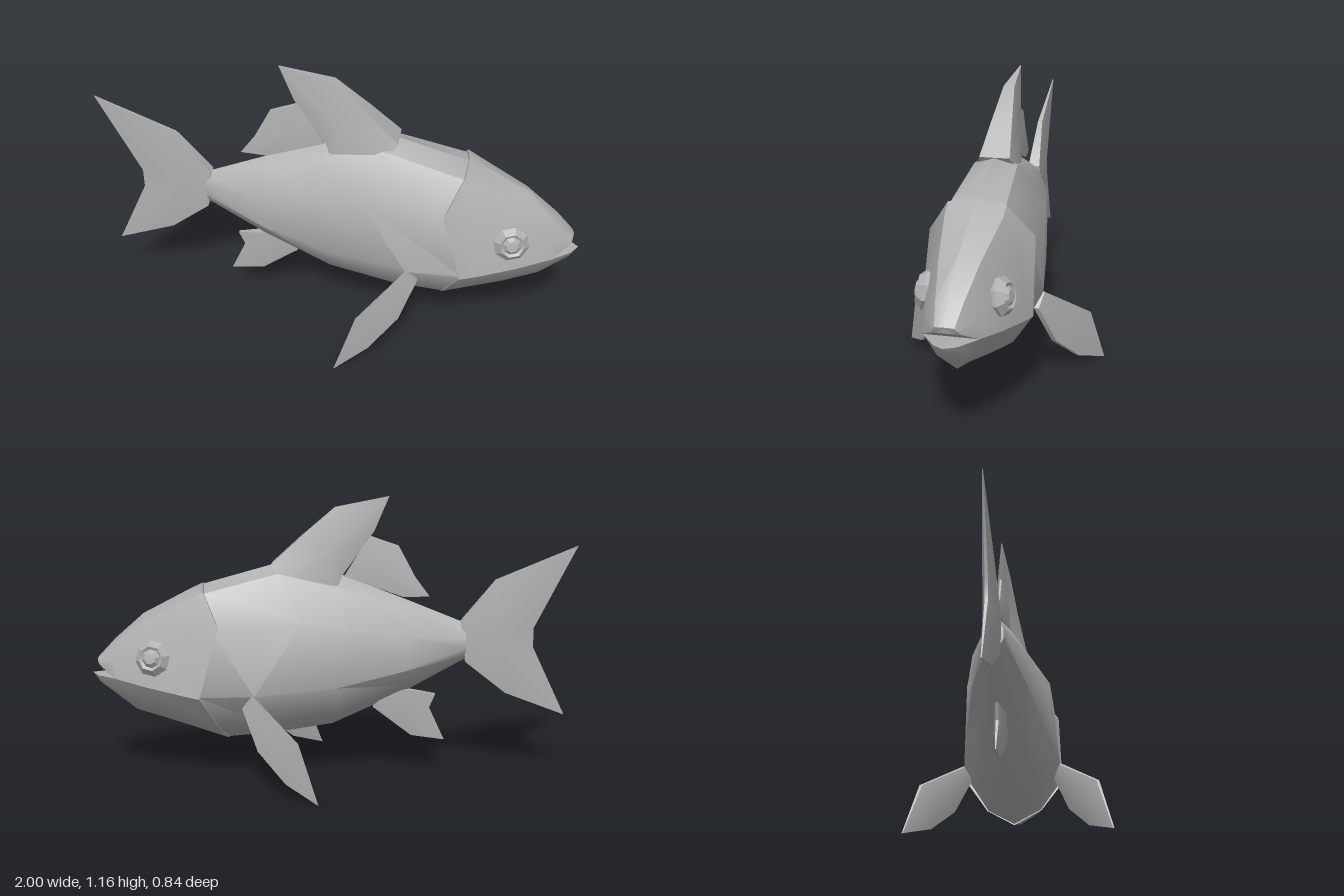
import * as THREE from 'three';
import { toCreasedNormals } from 'three/addons/utils/BufferGeometryUtils.js';

const grey = new THREE.MeshStandardMaterial({ color: 0xb0b0b0 });
grey.name = 'plain grey';

function mesh(name, verts, index, crease = 0.6) {
  const geo = new THREE.BufferGeometry();
  geo.setAttribute('position', new THREE.Float32BufferAttribute(verts.flat(), 3));
  geo.setIndex(index);
  const m = new THREE.Mesh(toCreasedNormals(geo, crease), grey);
  m.name = name;
  return m;
}

// Closed skin through half sections [x, y, z] (top to bottom), mirrored in z
function loft(name, sections) {
  const rings = sections.map((s) => [
    ...s,
    ...s.slice(1, -1).reverse().map(([x, y, z]) => [x, y, -z]),
  ]);
  const n = rings[0].length, index = [];
  for (let i = 0; i < rings.length - 1; i++) {
    for (let j = 0; j < n; j++) {
      const a = i * n + j, b = i * n + (j + 1) % n;
      index.push(a, b, b + n, a, b + n, a + n);
    }
  }
  const last = (rings.length - 1) * n;
  for (let j = 1; j < n - 1; j++) {
    index.push(0, j + 1, j, last, last + j, last + j + 1);
  }
  return mesh(name, rings.flat(), index);
}

// Fin swelling towards a centre point; points are [x, y, half thickness, z]
function fin(name, centre, outline, side = 1) {
  const pts = outline.slice();
  if (THREE.ShapeUtils.isClockWise(pts.map(([x, y]) => ({ x, y })))) pts.reverse();
  const verts = [], index = [];
  for (const [x, y, t, z = 0] of [centre, ...pts]) {
    verts.push([x, y, side * z + t], [x, y, side * z - t]);
  }
  for (let i = 0; i < pts.length; i++) {
    const a = 2 * (i + 1), b = 2 * ((i + 1) % pts.length + 1);
    index.push(0, a, b, 1, b + 1, a + 1, a, a + 1, b + 1, a, b + 1, b);
  }
  return mesh(name, verts, index, 0.7);
}

export function createModel() {
  const fish = new THREE.Group();
  fish.name = 'fish';

  // Trunk from tail root to gills
  fish.add(loft('body', [
    [[-0.55, 0.64, 0], [-0.55, 0.62, 0.02], [-0.55, 0.58, 0.035], [-0.55, 0.54, 0.035], [-0.55, 0.51, 0.02], [-0.55, 0.49, 0]],
    [[-0.3, 0.74, 0], [-0.3, 0.71, 0.04], [-0.3, 0.6, 0.108], [-0.3, 0.46, 0.108], [-0.3, 0.385, 0.05], [-0.3, 0.35, 0]],
    [[-0.04, 0.84, 0], [-0.04, 0.79, 0.06], [-0.06, 0.63, 0.148], [-0.02, 0.4, 0.158], [-0.02, 0.275, 0.085], [0, 0.21, 0]],
    [[0.24, 0.885, 0], [0.22, 0.855, 0.085], [0.12, 0.67, 0.178], [0.31, 0.375, 0.208], [0.26, 0.24, 0.12], [0.24, 0.17, 0]],
    [[0.54, 0.8, 0], [0.52, 0.775, 0.105], [0.48, 0.64, 0.192], [0.54, 0.37, 0.2], [0.47, 0.22, 0.115], [0.45, 0.15, 0]],
  ]));

  // Upper head with flared gill covers and raised lip
  fish.add(loft('head', [
    [[0.53, 0.808, 0], [0.52, 0.785, 0.11], [0.45, 0.65, 0.203], [0.53, 0.365, 0.212], [0.53, 0.365, 0]],
    [[0.58, 0.785, 0], [0.57, 0.755, 0.108], [0.56, 0.62, 0.165], [0.59, 0.375, 0.2], [0.59, 0.375, 0]],
    [[0.78, 0.68, 0], [0.77, 0.655, 0.075], [0.74, 0.54, 0.132], [0.75, 0.4, 0.152], [0.75, 0.4, 0]],
    [[0.9, 0.575, 0], [0.9, 0.56, 0.05], [0.89, 0.49, 0.088], [0.89, 0.425, 0.1], [0.89, 0.425, 0]],
    [[0.975, 0.495, 0], [0.97, 0.492, 0.035], [0.965, 0.478, 0.045], [0.955, 0.465, 0.05], [0.97, 0.472, 0]],
  ]));

  // Lower jaw and throat
  fish.add(loft('lowerJaw', [
    [[0.53, 0.365, 0], [0.53, 0.365, 0.21], [0.46, 0.22, 0.12], [0.435, 0.145, 0]],
    [[0.75, 0.4, 0], [0.75, 0.4, 0.152], [0.71, 0.29, 0.095], [0.66, 0.22, 0]],
    [[0.89, 0.42, 0], [0.89, 0.425, 0.1], [0.85, 0.33, 0.065], [0.82, 0.27, 0]],
    [[1, 0.43, 0], [0.97, 0.425, 0.04], [0.965, 0.395, 0.025], [0.96, 0.38, 0]],
  ]));

  // Fins on the centre line
  fish.add(fin('dorsalFin', [0, 0.95, 0.05], [
    [0.25, 0.885, 0.06], [0.13, 0.995, 0.042], [-0.01, 1.115, 0.022], [-0.23, 1.16, 0.002],
    [-0.17, 1.02, 0.012], [-0.04, 0.84, 0.03], [-0.02, 0.79, 0.05], [0.2, 0.82, 0.085],
  ]));
  fish.add(fin('rearDorsalFin', [-0.19, 0.88, 0.025], [
    [-0.05, 0.835, 0.02], [-0.15, 1, 0.012], [-0.27, 0.96, 0.004],
    [-0.34, 0.83, 0.004], [-0.4, 0.75, 0.002], [-0.29, 0.75, 0.012],
  ]));
  fish.add(fin('tailFin', [-0.67, 0.58, 0.03], [
    [-0.53, 0.645, 0.025], [-0.67, 0.82, 0.01], [-1, 0.96, 0.002], [-0.83, 0.62, 0.006],
    [-0.83, 0.54, 0.006], [-0.97, 0.25, 0.002], [-0.72, 0.345, 0.01], [-0.55, 0.48, 0.025],
  ]));
  fish.add(fin('analFin', [-0.31, 0.27, 0.022], [
    [-0.17, 0.285, 0.02], [-0.24, 0.37, 0.025], [-0.43, 0.34, 0.006],
    [-0.405, 0.28, 0.006], [-0.47, 0.14, 0.002], [-0.33, 0.16, 0.006],
  ]));

  // Paired fins and eyes
  const eyeProfile = [[0, -0.04], [0.068, -0.04], [0.074, 0.005], [0.05, 0.03], [0.038, 0.022], [0.024, 0.036], [0, 0.038]]
    .map(([r, h]) => new THREE.Vector2(r, h));
  for (const side of [1, -1]) {
    const label = side > 0 ? 'Left' : 'Right';
    fish.add(fin('pectoralFin' + label, [0.19, 0.19, 0.022, 0.31], [
      [0.32, 0.38, 0.01, 0.205], [0.13, 0.23, 0.006, 0.365], [0.05, 0, 0.002, 0.42],
      [0.18, 0.055, 0.006, 0.33], [0.295, 0.165, 0.008, 0.25], [0.36, 0.325, 0.01, 0.19],
    ], side));

    const eye = new THREE.Mesh(toCreasedNormals(new THREE.LatheGeometry(eyeProfile, 8), 0.5), grey);
    eye.name = 'eye' + label;
    eye.position.set(0.722, 0.518, side * 0.14);
    eye.quaternion.setFromUnitVectors(
      new THREE.Vector3(0, 1, 0),
      new THREE.Vector3(0.2, 0.2, side).normalize(),
    );
    fish.add(eye);
  }
  return fish;
}
